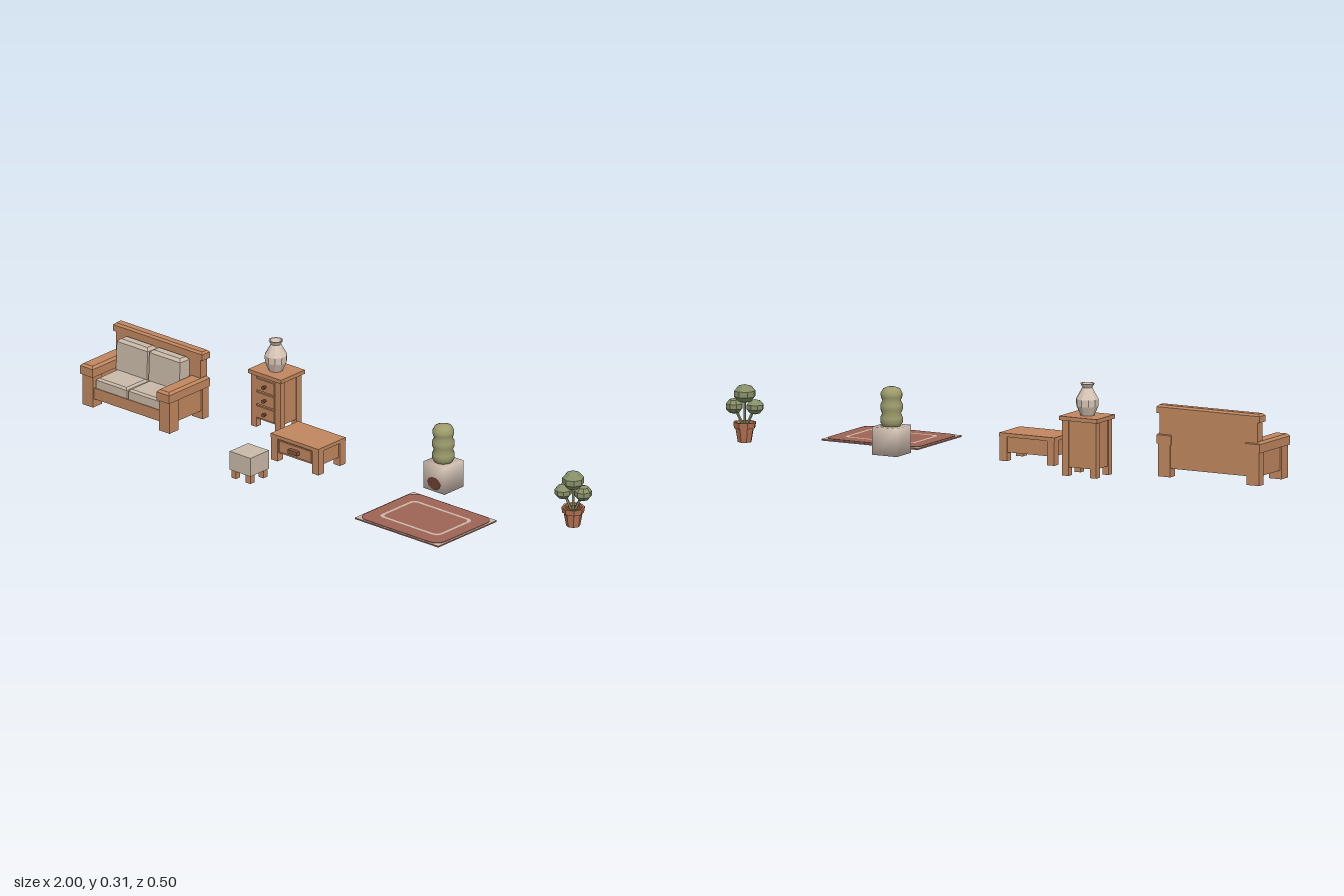
import * as THREE from 'three';
import { mergeVertices } from 'three/addons/utils/BufferGeometryUtils.js';

const mat = (name, color, extra = {}) => {
  const m = new THREE.MeshStandardMaterial({ color, ...extra });
  m.name = name;
  return m;
};
const wood = mat('wood', 0xc0875f, { flatShading: true });
const darkWood = mat('darkWood', 0x8a553a, { flatShading: true });
const fabric = mat('fabric', 0xcabaa9, { flatShading: true });
const ceramic = mat('ceramic', 0xd8c5b6, { flatShading: true, side: THREE.DoubleSide });
const stone = mat('stone', 0xd6c4b6);
const hedge = mat('hedge', 0x9c9c6c);
const leaf = mat('leaf', 0x889068, { flatShading: true });
const terracotta = mat('terracotta', 0xb87552, { flatShading: true });
const red = mat('red', 0x9e6456);
const soil = mat('soil', 0x6b4133);

function add(parent, name, geo, material, x = 0, y = 0, z = 0) {
  const m = new THREE.Mesh(geo, material);
  m.name = name;
  m.position.set(x, y, z);
  parent.add(m);
  return m;
}

// Box given by its limits; c > 0 chamfers the top edges
function box(parent, name, material, x0, x1, y0, y1, z0, z1, c = 0) {
  const w = x1 - x0, h = y1 - y0, d = z1 - z0;
  let geo = new THREE.BoxGeometry(w, h, d, 1, c ? 2 : 1, 1);
  if (c) {
    const p = geo.attributes.position;
    for (let i = 0; i < p.count; i++) {
      const y = p.getY(i);
      if (Math.abs(y) < 1e-6) p.setY(i, h / 2 - c);
      else if (y > 0) {
        p.setX(i, p.getX(i) - Math.sign(p.getX(i)) * c);
        p.setZ(i, p.getZ(i) - Math.sign(p.getZ(i)) * c);
      }
    }
    geo = geo.toNonIndexed();
    geo.computeVertexNormals();
  }
  return add(parent, name, geo, material, (x0 + x1) / 2, (y0 + y1) / 2, (z0 + z1) / 2);
}

// Four corner posts inside a rectangle
function legs(parent, name, x0, x1, z0, z1, h, w, d) {
  for (const x of [x0, x1 - w]) for (const z of [z0, z1 - d])
    box(parent, name, wood, x, x + w, 0, h, z, z + d);
}

function group(root, name, x = 0, y = 0, z = 0) {
  const g = new THREE.Group();
  g.name = name;
  g.position.set(x, y, z);
  root.add(g);
  return g;
}

const lathe = (pts, n) => new THREE.LatheGeometry(pts.map(p => new THREE.Vector2(...p)), n);

function sofa(root) {
  const g = group(root, 'sofa', -0.8);
  box(g, 'backrest', wood, -0.19, 0.19, 0.03, 0.216, -0.097, -0.063);
  box(g, 'backRail', wood, -0.2, 0.2, 0.216, 0.245, -0.1, -0.061, 0.007);
  box(g, 'seatBase', wood, -0.15, 0.15, 0.03, 0.07, -0.065, 0.095);
  for (const s of [-1, 1]) {
    const span = (a, b) => s > 0 ? [a, b] : [-b, -a];
    box(g, 'armPanel', wood, ...span(0.152, 0.19), 0.03, 0.112, -0.08, 0.07);
    box(g, 'frontPost', wood, ...span(0.148, 0.196), 0, 0.112, 0.055, 0.101);
    box(g, 'rearPost', wood, ...span(0.148, 0.196), 0, 0.112, -0.098, -0.067);
    box(g, 'armRail', wood, ...span(0.143, 0.2), 0.112, 0.15, -0.1, 0.108, 0.008);
    box(g, 'seatCushion', fabric, ...span(0.004, 0.142), 0.07, 0.107, -0.03, 0.092, 0.007);
    // back cushion, leaning slightly backwards
    const c = box(g, 'backCushion', fabric, ...span(0.004, 0.142), 0.105, 0.217, -0.061, -0.012, 0.01);
    c.rotation.x = -0.04;
  }
}

function dresser(root) {
  const g = group(root, 'dresser', -0.383);
  box(g, 'dresserTop', wood, -0.074, 0.074, 0.19, 0.204, -0.254, -0.132);
  box(g, 'dresserBody', wood, -0.062, 0.062, 0.03, 0.19, -0.242, -0.142);
  legs(g, 'dresserLeg', -0.066, 0.066, -0.245, -0.138, 0.19, 0.024, 0.024);
  for (const y of [0.058, 0.108, 0.158]) {
    box(g, 'drawer', wood, -0.04, 0.04, y - 0.021, y + 0.021, -0.144, -0.136);
    const k = add(g, 'drawerKnob', new THREE.CylinderGeometry(0.007, 0.005, 0.014, 8), darkWood, 0, y, -0.129);
    k.rotation.x = Math.PI / 2;
  }
  add(g, 'vase', lathe([[0, 0], [0.024, 0], [0.038, 0.032], [0.039, 0.056], [0.017, 0.095],
    [0.025, 0.109], [0.02, 0.109], [0.013, 0.095], [0, 0.085]], 10), ceramic, 0, 0.204, -0.19);
}

function table(root) {
  const g = group(root, 'lowTable', -0.095);
  box(g, 'tableTop', wood, -0.107, 0.107, 0.083, 0.096, -0.098, 0.042);
  box(g, 'tableBody', wood, -0.1, 0.1, 0.03, 0.084, -0.092, 0.034);
  legs(g, 'tableLeg', -0.106, 0.106, -0.097, 0.04, 0.084, 0.028, 0.028);
  box(g, 'tableDrawer', wood, -0.072, 0.072, 0.037, 0.077, 0.03, 0.039);
  box(g, 'drawerHandle', darkWood, -0.02, 0.02, 0.05, 0.064, 0.038, 0.054);
}

function stool(root) {
  const g = group(root, 'stool', -0.155, 0, 0.204);
  box(g, 'stoolSeat', fabric, -0.047, 0.047, 0.029, 0.096, -0.047, 0.047);
  legs(g, 'stoolLeg', -0.043, 0.043, -0.044, 0.043, 0.03, 0.021, 0.021);
}

function hedgePlanter(root) {
  const g = group(root, 'hedgePlanter', 0.393, 0, -0.163);
  // cube with shared corner normals for soft shading
  let geo = new THREE.BoxGeometry(0.095, 0.096, 0.097);
  geo.deleteAttribute('normal');
  geo.deleteAttribute('uv');
  geo = mergeVertices(geo);
  geo.computeVertexNormals();
  add(g, 'planter', geo, stone, 0, 0.048, 0);
  const patch = add(g, 'planterPatch', new THREE.CircleGeometry(0.03, 10), soil, 0, 0.029, 0.0488);
  patch.scale.y = 0.75;
  // three stacked swells
  add(g, 'clippedHedge', lathe([[0, 0], [0.03, 0], [0.038, 0.013], [0.038, 0.03], [0.032, 0.044],
    [0.038, 0.058], [0.038, 0.074], [0.031, 0.088], [0.036, 0.1], [0.037, 0.113],
    [0.029, 0.128], [0.014, 0.134], [0, 0.135]], 18), hedge, 0, 0.095, 0);
}

// Rounded rectangle outline
function rounded(ShapeType, w, h, r) {
  const s = new ShapeType(), x = w / 2, y = h / 2;
  s.moveTo(-x + r, -y);
  s.lineTo(x - r, -y); s.quadraticCurveTo(x, -y, x, -y + r);
  s.lineTo(x, y - r); s.quadraticCurveTo(x, y, x - r, y);
  s.lineTo(-x + r, y); s.quadraticCurveTo(-x, y, -x, y - r);
  s.lineTo(-x, -y + r); s.quadraticCurveTo(-x, -y, -x + r, -y);
  return s;
}

function rug(root) {
  const g = group(root, 'rug', 0.54, 0, 0.093);
  box(g, 'rugBase', red, -0.187, 0.187, 0, 0.005, -0.149, 0.149);
  const flat = (name, geo, m, y) => { add(g, name, geo, m, 0, y, 0).rotation.x = -Math.PI / 2; };
  flat('rugBorder', new THREE.PlaneGeometry(0.374, 0.298), fabric, 0.0055);
  flat('rugField', new THREE.ExtrudeGeometry(rounded(THREE.Shape, 0.362, 0.288, 0.045),
    { depth: 0.002, bevelEnabled: false }), red, 0.006);
  const ring = rounded(THREE.Shape, 0.268, 0.184, 0.025);
  ring.holes.push(rounded(THREE.Path, 0.248, 0.164, 0.022));
  flat('rugRing', new THREE.ShapeGeometry(ring), fabric, 0.0086);
}

function pottedTree(root) {
  const g = group(root, 'pottedTree', 0.94, 0, -0.204);
  add(g, 'pot', new THREE.CylinderGeometry(0.033, 0.024, 0.052, 8), terracotta, 0, 0.026, 0);
  add(g, 'potRim', lathe([[0.03, 0.048], [0.037, 0.048], [0.04, 0.068], [0.033, 0.068], [0.031, 0.058]], 8),
    terracotta);
  add(g, 'potSoil', new THREE.CylinderGeometry(0.032, 0.032, 0.006, 8), soil, 0, 0.057, 0);
  // stems and faceted leaf balls: x, y, z, radius, half height
  for (const [x, y, z, r, h] of [[0, 0.165, 0, 0.039, 0.032], [-0.032, 0.12, 0.015, 0.031, 0.026],
    [0.032, 0.122, -0.015, 0.031, 0.027]]) {
    const path = new THREE.LineCurve3(new THREE.Vector3(x * 0.15, 0.055, z * 0.15), new THREE.Vector3(x, y, z));
    add(g, 'stem', new THREE.TubeGeometry(path, 1, 0.005, 5), leaf);
    add(g, 'leafBall', new THREE.SphereGeometry(1, 8, 5), leaf, x, y, z).scale.set(r, h, r);
  }
}

export function createModel() {
  const root = new THREE.Group();
  root.name = 'furnitureSet';
  for (const build of [sofa, dresser, table, stool, hedgePlanter, rug, pottedTree]) build(root);
  return root;
}
